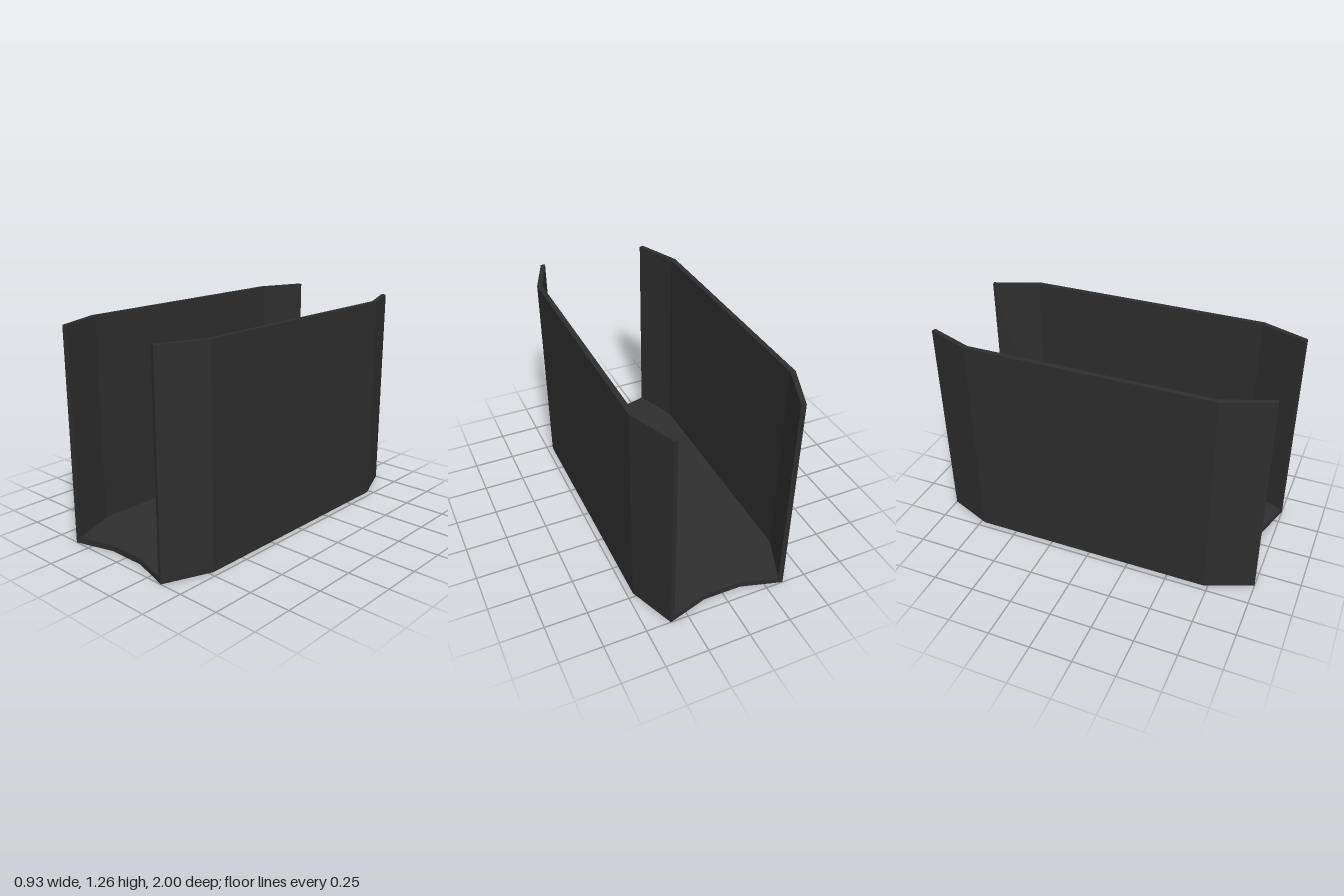
import * as THREE from 'three';

const HEIGHT = 1.26, FLOOR = 0.035;

export function createModel() {
  const group = new THREE.Group();
  group.name = 'openChannel';
  const charcoal = new THREE.MeshStandardMaterial({ color: 0x2d2d2d });
  charcoal.name = 'charcoal';

  // Extrude a plan outline of [x, z] points upward from y0 to y1
  const addSlab = (name, points, y0, y1) => {
    const shape = new THREE.Shape(points.map(([x, z]) => new THREE.Vector2(x, -z)));
    const geometry = new THREE.ExtrudeGeometry(shape, { depth: y1 - y0, bevelEnabled: false });
    geometry.rotateX(-Math.PI / 2);
    const mesh = new THREE.Mesh(geometry, charcoal);
    mesh.name = name;
    mesh.position.y = y0;
    group.add(mesh);
  };

  // Floor plate with tapered corners and notched ends
  const quarter = [[0.465, 0.725], [0.355, 1], [0.115, 0.93]];
  const half = [...quarter, ...quarter.map(([x, z]) => [-x, z]).reverse()];
  addSlab('floor', [...half, ...half.map(([x, z]) => [-x, -z])], 0, FLOOR);

  // Side walls, folded inward at both ends
  const bend = [[0.435, 0.72], [0.329, 0.992], [0.355, 1], [0.465, 0.725]];
  const wall = [...bend, ...bend.map(([x, z]) => [x, -z]).reverse()];
  for (const [name, side] of [['leftWall', 1], ['rightWall', -1]]) {
    addSlab(name, wall.map(([x, z]) => [side * x, z]), FLOOR, HEIGHT);
  }
  return group;
}
